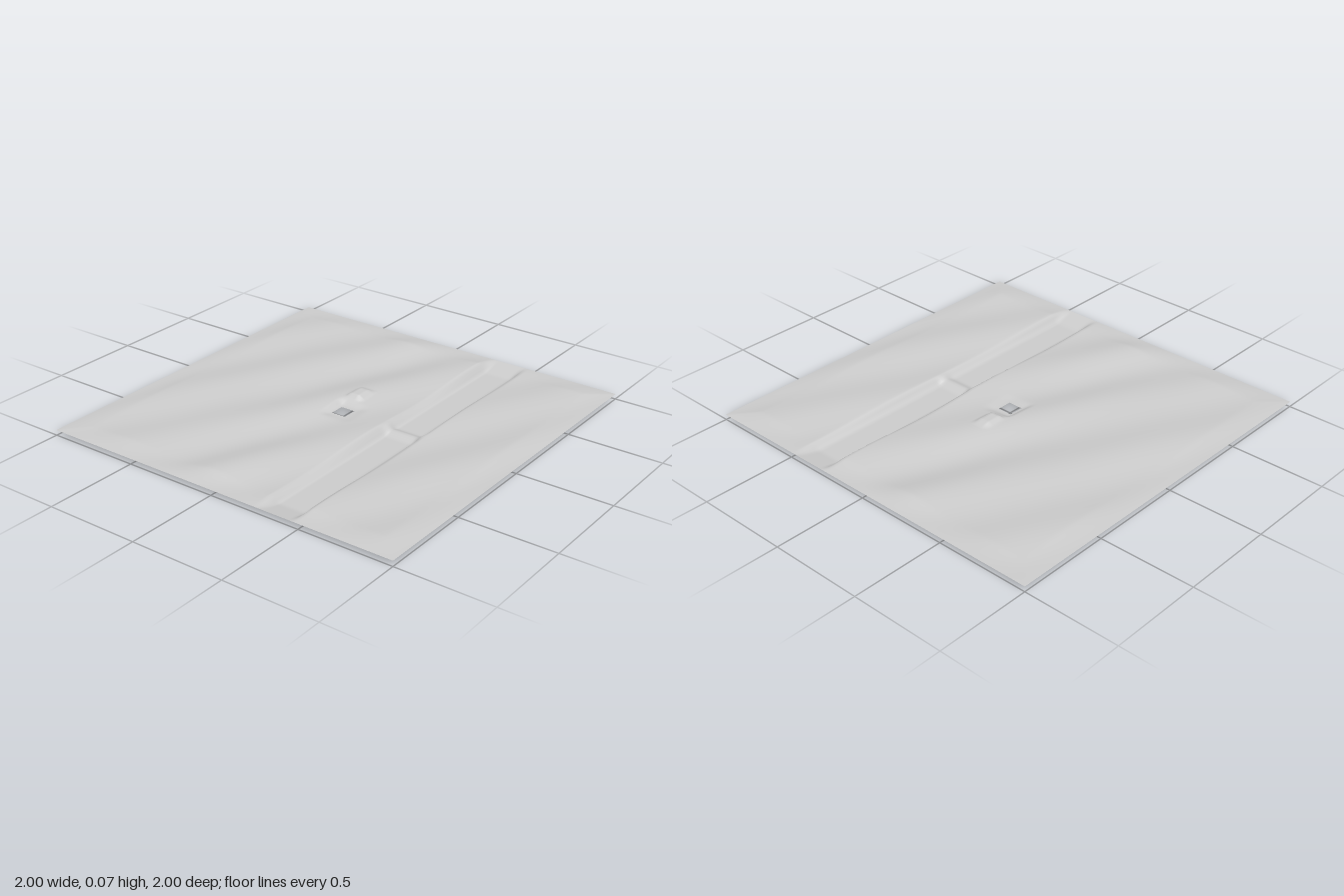
import * as THREE from 'three';

const CELLS = 150, SIZE = 2, EDGE = 0.028;
const clamp = (t) => Math.min(1, Math.max(0, t));
const ramp = (a, b, t) => clamp((t - a) / (b - a));
const smooth = (a, b, t) => THREE.MathUtils.smoothstep(t, a, b);
const mix = THREE.MathUtils.lerp;
// 1 inside [a, b], falling to 0 over the given margins
const band = (t, a, b, before, after = before) => ramp(a - before, a, t) * (1 - ramp(b, b + after, t));

// Diagonal rolling waves, strongest just left of the middle
function hills(x, z) {
  const u = x + 0.5 * z;
  const amp = 0.007 + 0.006 * Math.exp(-((x + 0.12) ** 2) / 0.05);
  return 0.038 + amp * Math.cos((u + 0.65) * 4 * Math.PI)
    + 0.004 * Math.sin(7 * x - 3 * z + 0.6) * Math.cos(5 * z + 2 * x);
}

function heightAt(x, z) {
  let y = hills(x, z);
  // Sunken floor round the shaft
  y = mix(y, 0.026, band(x, -0.05, 0.055, 0.03, 0.045) * band(z, -0.06, 0.06, 0.04));
  // Raised block: steep front, sloping back
  y = mix(y, 0.066, band(x, -0.057, 0.008, 0.012) * band(z, -0.213, -0.128, 0.04, 0.012));
  // River bed with a low ford across it
  const ford = 0.017 * (1 - smooth(0.0, 0.055, Math.abs(z)));
  const bed = smooth(0.255, 0.295, x) * (1 - smooth(0.445, 0.485, x));
  y = mix(y, ford, bed);
  // Ease to a level border
  const d = 1 - Math.max(Math.abs(x), Math.abs(z));
  return mix(EDGE, y, ramp(0, 0.125, d));
}

export function createModel() {
  const group = new THREE.Group();
  group.name = 'landscape';

  const geo = new THREE.PlaneGeometry(SIZE, SIZE, CELLS, CELLS).rotateX(-Math.PI / 2);
  const pos = geo.attributes.position;
  for (let i = 0; i < pos.count; i++) pos.setY(i, heightAt(pos.getX(i), pos.getZ(i)));
  geo.computeVertexNormals();

  // Leave out the faces over the square shaft
  const kept = [], src = geo.index.array;
  for (let i = 0; i < src.length; i += 3) {
    const tri = [src[i], src[i + 1], src[i + 2]];
    const inHole = tri.every((v) => Math.abs(pos.getX(v)) < 0.041 && Math.abs(pos.getZ(v)) < 0.041);
    if (!inHole) kept.push(...tri);
  }
  geo.setIndex(kept);

  const terrain = new THREE.Mesh(geo, new THREE.MeshStandardMaterial({ color: 0xcccccc, side: THREE.DoubleSide }));
  terrain.name = 'terrain';
  group.add(terrain);
  return group;
}
